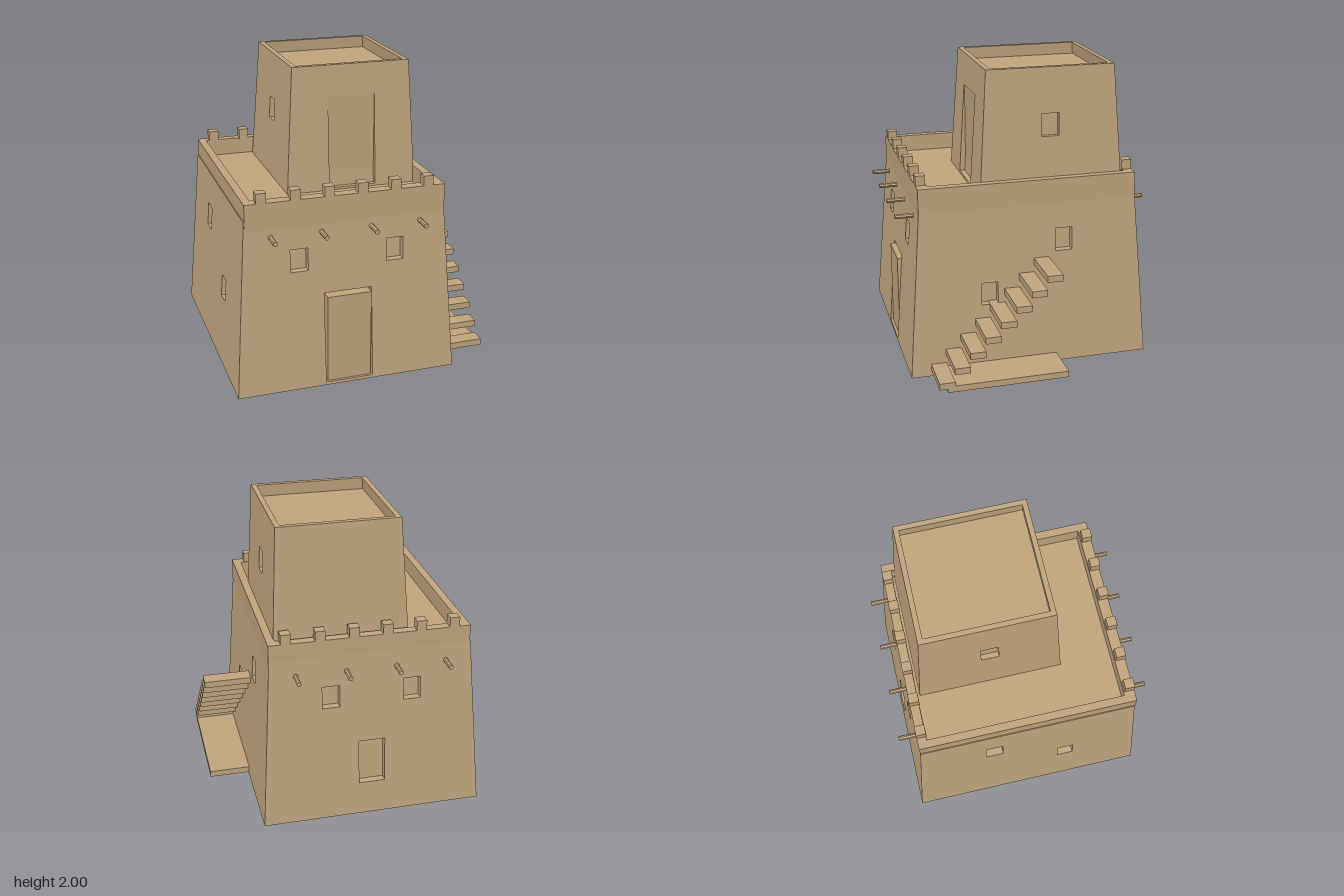
import * as THREE from 'three';

const adobe = new THREE.MeshStandardMaterial({ color: 0xc2a67e });
adobe.name = 'sandy adobe';

const lerp = THREE.MathUtils.lerp;

function add(parent, name, geometry) {
  const mesh = new THREE.Mesh(geometry, adobe);
  mesh.name = name;
  parent.add(mesh);
  return mesh;
}

// Box given by its limits on each axis
function block(parent, name, x0, x1, y0, y1, z0, z1) {
  const mesh = add(parent, name, new THREE.BoxGeometry(x1 - x0, y1 - y0, z1 - z0));
  mesh.position.set((x0 + x1) / 2, (y0 + y1) / 2, (z0 + z1) / 2);
  return mesh;
}

function rectPath(a, b, c, d, Type = THREE.Path) {
  const p = new Type();
  p.moveTo(a, c);
  p.lineTo(b, c);
  p.lineTo(b, d);
  p.lineTo(a, d);
  p.closePath();
  return p;
}

// Tapered solid; base and top are [x0, x1, z0, z1]
function frustum(base, top, y0, y1) {
  const g = new THREE.BoxGeometry(1, 1, 1).toNonIndexed();
  const p = g.attributes.position;
  for (let i = 0; i < p.count; i++) {
    const r = p.getY(i) > 0 ? top : base;
    p.setXYZ(i, p.getX(i) > 0 ? r[1] : r[0], p.getY(i) > 0 ? y1 : y0, p.getZ(i) > 0 ? r[3] : r[2]);
  }
  g.computeVertexNormals();
  return g;
}

// Sloping wall slab with openings; u runs along the wall, o points outward
function wall(side, base, top, y0, y1, holes, depth) {
  const range = {
    front: (r) => [r[0], r[1], r[3]],
    back: (r) => [-r[1], -r[0], -r[2]],
    right: (r) => [-r[3], -r[2], r[1]],
    left: (r) => [r[2], r[3], -r[0]],
  }[side];
  const toWorld = {
    front: (u, o) => [u, o],
    back: (u, o) => [-u, -o],
    right: (u, o) => [o, -u],
    left: (u, o) => [-o, u],
  }[side];
  const sign = side === 'front' || side === 'left' ? 1 : -1;
  const [b0, b1, bo] = range(base);
  const [t0, t1, to] = range(top);
  const shape = new THREE.Shape([[b0, y0], [b1, y0], [t1, y1], [t0, y1]].map((q) => new THREE.Vector2(...q)));
  for (const [a, b, c, d] of holes) {
    const us = [a * sign, b * sign].sort((m, n) => m - n);
    shape.holes.push(rectPath(us[0], us[1], c, d));
  }
  const g = new THREE.ExtrudeGeometry(shape, { depth, bevelEnabled: false });
  const p = g.attributes.position;
  for (let i = 0; i < p.count; i++) {
    const y = p.getY(i), t = (y - y0) / (y1 - y0), inner = p.getZ(i) < depth / 2;
    let u = p.getX(i);
    if (inner) u = THREE.MathUtils.clamp(u, lerp(b0, t0, t) + depth, lerp(b1, t1, t) - depth);
    const [x, z] = toWorld(u, lerp(bo, to, t) - (inner ? depth : 0));
    p.setXYZ(i, x, y, z);
  }
  g.computeVertexNormals();
  return g;
}

// Tapered storey: four pierced walls around a solid core
function storey(name, base, top, y0, y1, coreTop, holes, depth) {
  const group = new THREE.Group();
  group.name = name;
  for (const side of ['front', 'back', 'right', 'left']) {
    add(group, side + 'Wall', wall(side, base, top, y0, y1, holes[side] || [], depth));
  }
  const inset = (r) => [r[0] + depth, r[1] - depth, r[2] + depth, r[3] - depth];
  const t = (coreTop - y0) / (y1 - y0);
  const mid = base.map((v, i) => lerp(v, top[i], t));
  add(group, 'core', frustum(inset(base), inset(mid), y0, coreTop));
  return group;
}

export function createModel() {
  const model = new THREE.Group();
  model.name = 'adobeHouse';

  // Lower storey with door and window recesses
  const sideWindows = [[0.215, 0.325, 0.46, 0.61], [-0.295, -0.18, 0.785, 0.94]];
  const house = storey('lowerStorey', [-0.88, 0.602, -0.82, 0.812], [-0.795, 0.532, -0.73, 0.722], 0, 1.165, 1.165, {
    front: [[-0.505, -0.39, 0.805, 0.955], [0.135, 0.25, 0.805, 0.955], [-0.29, 0.03, 0.02, 0.64]],
    back: [[-0.46, -0.345, 0.805, 0.955], [0.08, 0.195, 0.805, 0.955], [-0.22, -0.045, 0.23, 0.54]],
    right: sideWindows,
    left: sideWindows,
  }, 0.05);
  model.add(house);
  block(model, 'frontDoor', -0.275, 0.02, 0.02, 0.62, 0.7, 0.793);

  // Parapet around the roof terrace
  const ring = rectPath(-0.79, 0.535, -0.727, 0.73, THREE.Shape);
  ring.holes.push(rectPath(-0.738, 0.48, -0.655, 0.67));
  const parapet = add(model, 'parapet', new THREE.ExtrudeGeometry(ring, { depth: 0.195, bevelEnabled: false }));
  parapet.rotation.x = -Math.PI / 2;
  parapet.position.y = 1.085;

  // Battlements along front and back
  for (let i = 0; i < 6; i++) {
    const x = -0.682 + i * 0.221;
    block(model, 'frontBattlement', x - 0.033, x + 0.033, 1.27, 1.345, 0.662, 0.727);
    block(model, 'backBattlement', x - 0.033, x + 0.033, 1.27, 1.345, -0.73, -0.665);
  }

  // Roof beams poking out of both faces
  for (let i = 0; i < 4; i++) {
    for (const s of [1, -1]) {
      const beam = add(model, 'roofBeam', new THREE.CylinderGeometry(0.016, 0.016, 0.17, 8).toNonIndexed());
      beam.geometry.computeVertexNormals();
      beam.rotation.x = Math.PI / 2;
      beam.position.set(-0.628 + i * 0.331, 1.053, s * 0.767);
    }
  }

  // Upper tower with sunken roof, doorway and side windows
  const towerWindow = [[-0.22, -0.105, 1.55, 1.7]];
  model.add(storey('tower', [-0.402, 0.492, -0.655, 0.315], [-0.348, 0.45, -0.592, 0.262], 1.15, 2, 1.92, {
    front: [[-0.11, 0.21, 1.18, 1.79]],
    right: towerWindow,
    left: towerWindow,
  }, 0.034));
  block(model, 'towerDoor', -0.11, 0.21, 1.17, 1.79, 0.2, 0.272);

  // Cantilevered steps and ground slab on the side
  for (let i = 0; i < 8; i++) {
    const y = 0.04 + i * 0.095, z = 0.627 - i * 0.1015;
    block(model, 'step', 0.5, 0.875, y, y + 0.044, z - 0.052, z + 0.052);
  }
  block(model, 'stairSlab', 0.5, 0.875, 0.015, 0.058, -0.185, 0.625);

  return model;
}
